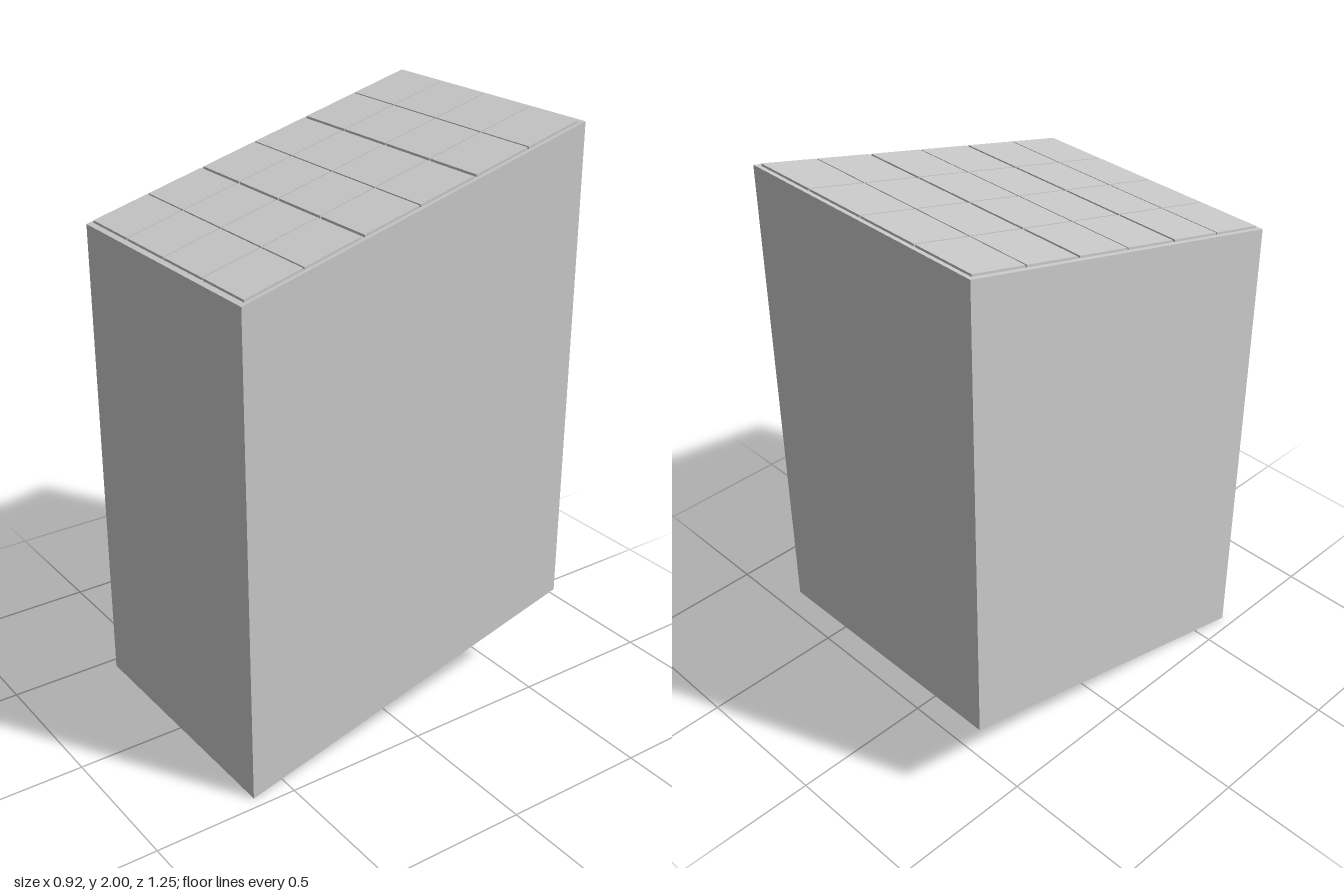
import * as THREE from 'three';

const W = 0.92, D = 1.255, H = 1.66;
const SLOPE = Math.tan(THREE.MathUtils.degToRad(15));

// Lift every vertex with its distance from the front, so level faces become pitched.
function shear(geometry) {
  const p = geometry.attributes.position;
  for (let i = 0; i < p.count; i++) p.setY(i, p.getY(i) + (D / 2 - p.getZ(i)) * SLOPE);
  geometry.computeVertexNormals();
  return geometry;
}

export function createModel() {
  const group = new THREE.Group();
  const grey = new THREE.MeshStandardMaterial({ color: 0xcccccc, side: THREE.DoubleSide });

  // Hollow body: four walls and a pitched roof, open underneath
  const body = new THREE.BoxGeometry(W, H, D).translate(0, H / 2, 0);
  const index = Array.from(body.index.array);
  index.splice(18, 6); // drop the bottom face
  body.setIndex(index);
  body.clearGroups();
  const shell = new THREE.Mesh(shear(body), grey);
  shell.name = 'body';
  group.add(shell);

  // Roof panels: three strips, each of two rows of four thin tiles
  const tileW = 0.219, tileD = 0.197, tileH = 0.008;
  const gap = 0.005, stripGap = 0.011;
  const stripD = 2 * tileD + gap;
  for (let s = 0; s < 3; s++) {
    const strip = new THREE.Group();
    strip.name = 'roofPanel';
    for (let r = 0; r < 2; r++) {
      for (let c = 0; c < 4; c++) {
        const x = (c - 1.5) * (tileW + gap);
        const z = (s - 1) * (stripD + stripGap) + (r - 0.5) * (tileD + gap);
        const tile = new THREE.BoxGeometry(tileW, tileH, tileD).translate(x, H + tileH / 2, z);
        const mesh = new THREE.Mesh(shear(tile), grey);
        mesh.name = 'panelTile';
        strip.add(mesh);
      }
    }
    group.add(strip);
  }
  return group;
}
